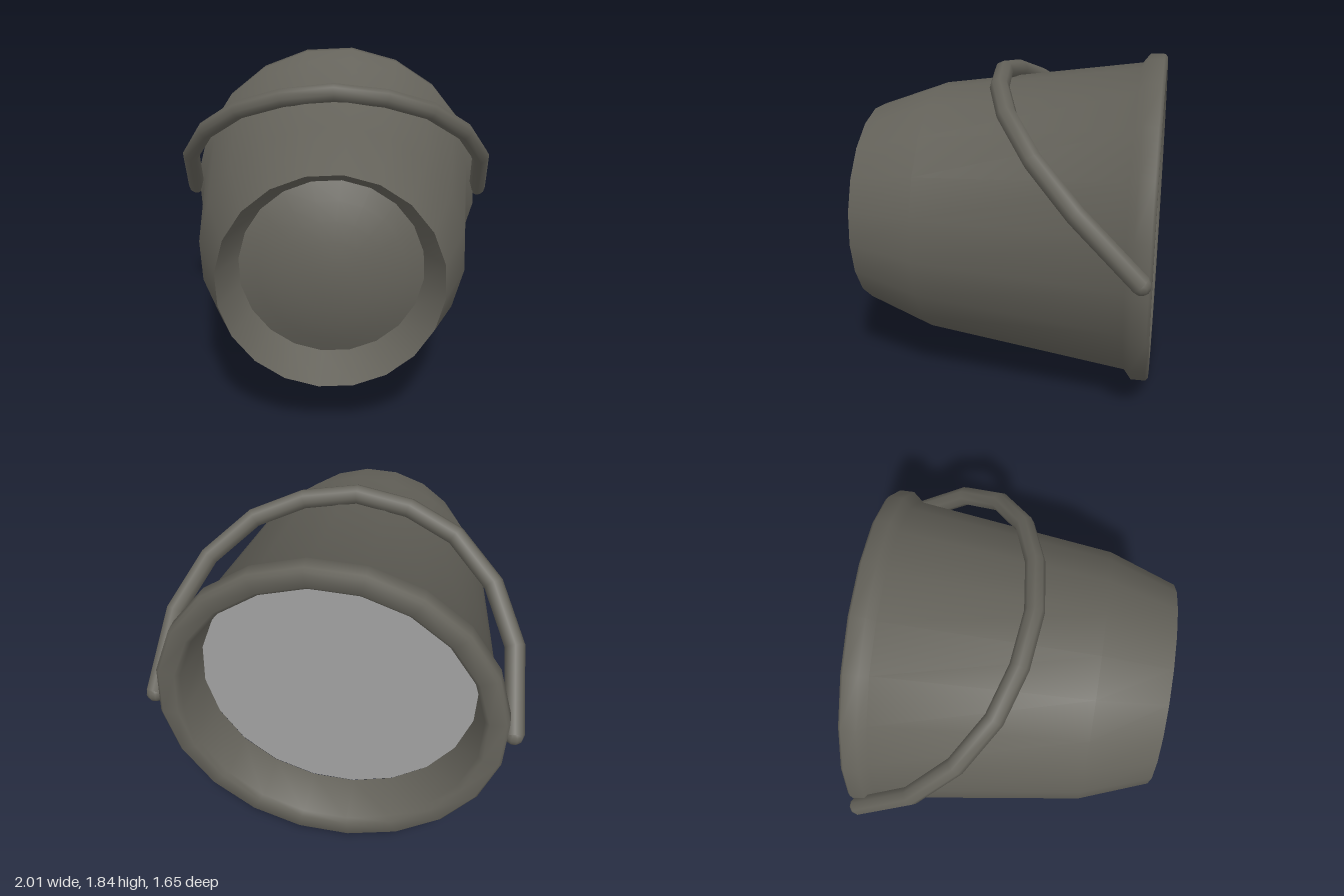
import * as THREE from 'three';
import { toCreasedNormals } from 'three/addons/utils/BufferGeometryUtils.js';

const SIDES = 20;
const AXIS_Y = 0.93;
const TURN = THREE.MathUtils.degToRad(-6.2);

export function createModel() {
  const model = new THREE.Group();
  model.name = 'bucket';
  const metal = new THREE.MeshStandardMaterial({ color: 0x64625a });
  metal.name = 'dark grey metal';
  const pale = new THREE.MeshStandardMaterial({ color: 0xa0a0a0 });
  pale.name = 'pale grey contents';

  const add = (name, geometry, material, x = 0, y = 0, z = 0) => {
    const mesh = new THREE.Mesh(geometry, material);
    mesh.name = name;
    mesh.position.set(x, y, z);
    model.add(mesh);
    return mesh;
  };

  // Shell: [radius, z] from the inner wall, over the rim, along the outside to the recessed base
  const profile = [
    [0.76, -0.55], [0.80, -0.80], [0.825, -0.825], [0.91, -0.825], [0.926, -0.81],
    [0.926, -0.73], [0.875, -0.69], [0.725, 0.44], [0.585, 0.825], [0.49, 0.61],
  ];
  // Gently domed base inside the recess
  for (const t of [0.8, 0.6, 0.4, 0.2, 0]) profile.push([0.49 * t, 0.61 + 0.12 * (1 - t * t)]);
  const shell = new THREE.LatheGeometry(
    profile.map(([r, z]) => new THREE.Vector2(r, z)), SIDES, TURN);
  shell.rotateX(Math.PI / 2);
  add('shell', toCreasedNormals(shell, Math.PI / 3), metal, 0, AXIS_Y, 0);

  // Flat contents facing the opening
  const disc = new THREE.CircleGeometry(0.764, SIDES, Math.PI / 2 - TURN);
  disc.rotateY(Math.PI);
  add('contents', disc, pale, 0, AXIS_Y, -0.545);

  // Handle: half hoop tilted forward, mirrored about x = 0
  const half = [
    [0.95, 0.925, -0.775], [0.91, 1.24, -0.45], [0.77, 1.455, -0.22],
    [0.55, 1.62, -0.05], [0.29, 1.71, 0.04],
  ];
  const points = [
    ...half.map(([x, y, z]) => new THREE.Vector3(-x, y, z)),
    new THREE.Vector3(0, 1.748, 0.075),
    ...half.map(([x, y, z]) => new THREE.Vector3(x, y, z)).reverse(),
  ];
  const path = new THREE.CatmullRomCurve3(points);
  // Sample exactly at the bends
  path.getPointAt = path.getPoint;
  path.getTangentAt = path.getTangent;
  add('handle', new THREE.TubeGeometry(path, points.length - 1, 0.053, 8), metal);

  // Rounded handle ends
  for (const s of [-1, 1]) {
    add(s > 0 ? 'leftHandleEnd' : 'rightHandleEnd',
      new THREE.SphereGeometry(0.05, 10, 8), metal, s * 0.95, 0.925, -0.775);
  }
  return model;
}
